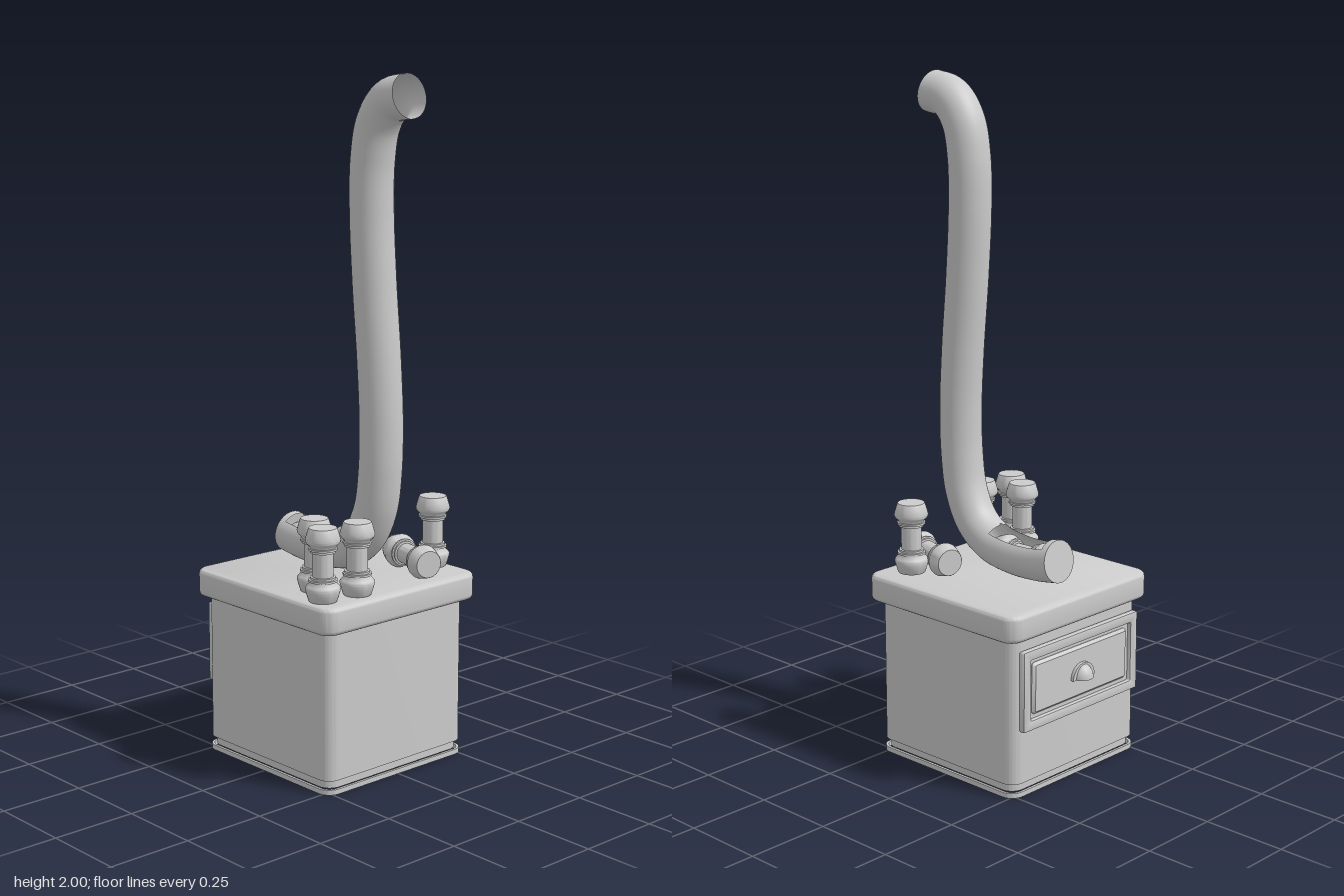
import * as THREE from 'three';
import { toCreasedNormals } from 'three/addons/utils/BufferGeometryUtils.js';

const grey = new THREE.MeshStandardMaterial({ color: 0xcccccc });
const greyBoth = new THREE.MeshStandardMaterial({ color: 0xcccccc, side: THREE.DoubleSide });

function part(name, geometry, parent, material = grey) {
  const mesh = new THREE.Mesh(geometry, material);
  mesh.name = name;
  parent.add(mesh);
  return mesh;
}

function roundedRect(w, h, r, Type = THREE.Shape) {
  const s = new Type(), x = w / 2, y = h / 2;
  s.absarc(x - r, y - r, r, 0, Math.PI / 2);
  s.absarc(r - x, y - r, r, Math.PI / 2, Math.PI);
  s.absarc(r - x, r - y, r, Math.PI, Math.PI * 1.5);
  s.absarc(x - r, r - y, r, Math.PI * 1.5, Math.PI * 2);
  s.closePath();
  return s;
}

// Extrudes a shape from z = 0 to z = depth, bevel included in both sizes
function extrude(shape, depth, bevel = 0, segments = 4) {
  const g = new THREE.ExtrudeGeometry(shape, {
    depth: depth - 2 * bevel, curveSegments: 8, bevelEnabled: bevel > 0,
    bevelSize: bevel, bevelThickness: bevel, bevelOffset: -bevel, bevelSegments: segments,
  });
  return toCreasedNormals(g.translate(0, 0, bevel), 0.6);
}

// Hollow rounded-square wall standing between two heights
function wall(name, size, y0, y1, parent) {
  const shape = roundedRect(size, size, 0.04);
  shape.holes.push(roundedRect(size - 0.016, size - 0.016, 0.032, THREE.Path));
  const mesh = part(name, extrude(shape, y1 - y0).rotateX(-Math.PI / 2), parent);
  mesh.position.set(0.005, y0, 0);
}

// Spool-shaped canister, symmetric about its middle, standing on y = 0
const LENGTH = 0.21;
function canisterGeometry() {
  const half = [
    [0, 0], [0.039, 0], [0.041, 0.003], [0.046, 0.02], [0.05, 0.034], [0.0495, 0.039], [0.046, 0.044],
    [0.038, 0.052], [0.037, 0.056], [0.041, 0.057], [0.041, 0.063], [0.036, 0.064], [0.036, 0.07], [0.03, 0.071],
  ];
  const points = [...half, ...half.map(([r, y]) => [r, LENGTH - y]).reverse()];
  const g = new THREE.LatheGeometry(points.map(([r, y]) => new THREE.Vector2(r, y)), 32);
  return toCreasedNormals(g, 0.6);
}

// Bent pipe with a viewing window cut in the top of its lower run
function pipeGeometry(curve, radius) {
  const g = new THREE.TubeGeometry(curve, 160, radius, 40, false);
  const p = g.attributes.position, n = g.attributes.normal, kept = [];
  for (let i = 0; i < g.index.count; i += 6) {
    const quad = Array.from(g.index.array.slice(i, i + 6));
    const mean = (f) => quad.reduce((sum, k) => sum + f(k), 0) / 6;
    const x = mean((k) => p.getX(k)), y = mean((k) => p.getY(k)), up = mean((k) => n.getY(k));
    const inWindow = y < 0.75 && x > -0.172 && x < 0.036 && up > 0.68;
    if (!inWindow) kept.push(...quad);
  }
  g.setIndex(kept);
  return g;
}

function buildDrawer(parent) {
  const drawer = new THREE.Group();
  drawer.name = 'drawer';
  drawer.position.set(-0.265, 0.32, 0);
  drawer.rotation.y = -Math.PI / 2;
  parent.add(drawer);

  part('drawerBack', extrude(roundedRect(0.48, 0.23, 0.004), 0.008), drawer);
  const frame = roundedRect(0.49, 0.24, 0.006);
  frame.holes.push(roundedRect(0.43, 0.18, 0.004, THREE.Path));
  part('drawerFrame', extrude(frame, 0.021, 0.005, 2), drawer);
  part('drawerPanel', extrude(roundedRect(0.405, 0.155, 0.012), 0.018, 0.008, 1), drawer);

  // Cup pull with a thin half-round flange
  const flange = new THREE.Shape();
  flange.absarc(0, 0, 0.046, 0, Math.PI);
  flange.closePath();
  const plate = part('handleFlange', extrude(flange, 0.012), drawer);
  plate.position.set(0, -0.018, 0.016);
  const cup = part('handleCup', new THREE.SphereGeometry(1, 24, 12, 0, Math.PI, 0, Math.PI / 2), drawer, greyBoth);
  cup.scale.set(0.034, 0.042, 0.034);
  cup.position.set(0, -0.018, 0.019);
}

export function createModel() {
  const model = new THREE.Group();
  model.name = 'tubeStation';

  // Cabinet, open underneath
  wall('plinth', 0.544, 0, 0.015, model);
  wall('plinthGroove', 0.522, 0.015, 0.04, model);
  wall('cabinetWalls', 0.54, 0.04, 0.48, model);
  const top = part('cabinetTop', extrude(roundedRect(0.594, 0.596, 0.046), 0.08, 0.014).rotateX(-Math.PI / 2), model);
  top.position.set(0.006, 0.474, -0.001);
  buildDrawer(model);

  // Pipe: short lower run, long gentle S upwards, elbow at the mouth
  const radius = 0.0625;
  const path = new THREE.CatmullRomCurve3([
    [-0.198, 0.632, -0.005], [-0.12, 0.621, -0.005], [-0.03, 0.62, -0.005], [0.06, 0.636, -0.004],
    [0.13, 0.685, -0.003], [0.175, 0.77, -0.002], [0.195, 0.88, 0], [0.2, 1.02, 0.001], [0.192, 1.2, 0.003],
    [0.174, 1.42, 0.005], [0.163, 1.62, 0.006], [0.167, 1.76, 0.007], [0.19, 1.86, 0.008],
    [0.24, 1.922, 0.008], [0.312, 1.938, 0.008],
  ].map((p) => new THREE.Vector3(...p)));
  part('pipe', pipeGeometry(path, radius), model, greyBoth);
  const cap = part('pipeEndCap', new THREE.CircleGeometry(radius, 40), model, greyBoth);
  cap.position.copy(path.getPoint(0));
  cap.lookAt(cap.position.clone().sub(path.getTangent(0)));

  // Canisters standing on the top
  const canister = canisterGeometry();
  const standing = [[0.19, 0.566, -0.217], [0.125, 0.555, 0.187], [0.235, 0.555, 0.124], [0.22, 0.555, 0.24]];
  for (const spot of standing) part('standingCanister', canister, model).position.set(...spot);

  // Canisters lying down: one on the top, one inside the pipe window
  const lay = (name, centre, direction) => {
    const mesh = part(name, canister, model);
    const d = new THREE.Vector3(...direction).normalize();
    mesh.quaternion.setFromUnitVectors(new THREE.Vector3(0, 1, 0), d);
    mesh.position.set(...centre).addScaledVector(d, -LENGTH / 2);
  };
  lay('lyingCanister', [0.18, 0.605, -0.141], [0.195, 0, 0.055]);
  lay('loadedCanister', [-0.069, 0.622, -0.006], [1, -0.02, 0]);

  return model;
}
